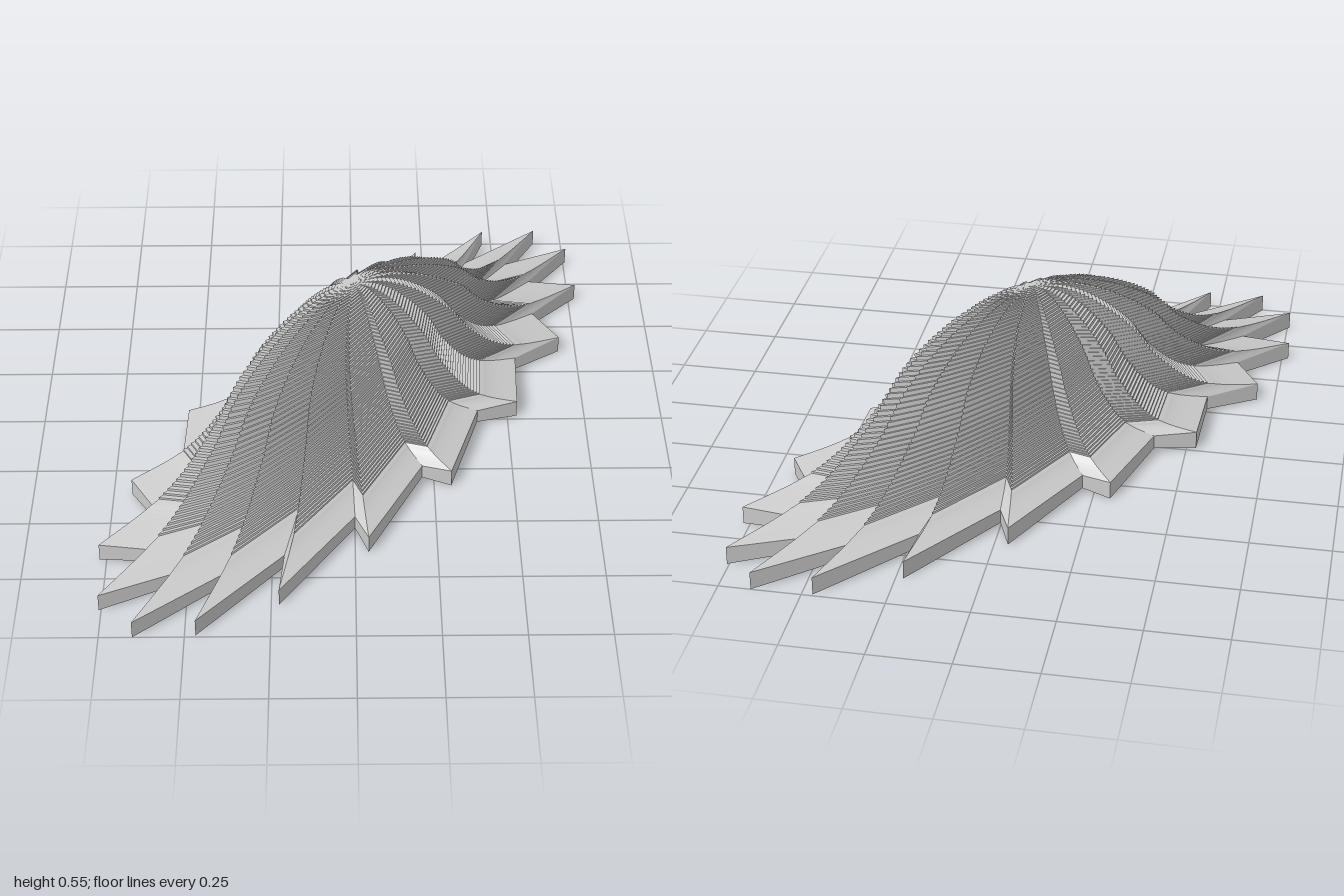
import * as THREE from 'three';

const TEETH = 18;
const BASE_TOP = 0.058, TOP = 0.545;
const material = new THREE.MeshStandardMaterial({ color: 0xcccccc, flatShading: true });

// Slanted elliptical saw-tooth outline, scaled by s and turned with height.
// The notches between teeth can be lifted to pleat the outline.
function ring(s, y, lift = 0) {
  const turn = THREE.MathUtils.degToRad(10) * Math.max(0, (y - BASE_TOP) / (TOP - BASE_TOP));
  const points = [];
  for (let k = 0; k < TEETH; k++) {
    for (const [step, r, rise] of [[k, 1, 0], [k + 0.15, 0.8, lift]]) {
      const a = (step / TEETH) * Math.PI * 2;
      const x = 0.777 * r * s * Math.cos(a - THREE.MathUtils.degToRad(113));
      const z = -1.012 * r * s * Math.cos(a - THREE.MathUtils.degToRad(71));
      points.push([
        x * Math.cos(turn) - z * Math.sin(turn), y + rise,
        x * Math.sin(turn) + z * Math.cos(turn),
      ]);
    }
  }
  return points;
}

// Skin a stack of rings from the bottom up.
function loft(rings) {
  const n = TEETH * 2;
  const index = [];
  for (let i = 0; i < rings.length - 1; i++) {
    for (let j = 0; j < n; j++) {
      const a = i * n + j, b = i * n + ((j + 1) % n);
      index.push(a, a + n, b, b, a + n, b + n);
    }
  }
  const geometry = new THREE.BufferGeometry();
  geometry.setAttribute('position', new THREE.Float32BufferAttribute(rings.flat(2), 3));
  geometry.setIndex(index);
  const flat = geometry.toNonIndexed();
  flat.computeVertexNormals();
  return flat;
}

function addPart(group, name, geometry) {
  const mesh = new THREE.Mesh(geometry, material);
  mesh.name = name;
  group.add(mesh);
}

export function createModel() {
  const group = new THREE.Group();
  group.name = 'twistedDome';

  // Toothed plinth with a shallow pleated underside
  addPart(group, 'toothedBase', loft([ring(0.001, 0), ring(1, 0, 0.012), ring(1, BASE_TOP)]));

  // Bell profile: scale against height
  const profile = new THREE.SplineCurve([
    [1, BASE_TOP], [0.8, 0.09], [0.66, 0.145], [0.52, 0.25], [0.43, 0.35],
    [0.33, 0.43], [0.22, 0.495], [0.11, 0.534], [0.001, TOP],
  ].map(([s, y]) => new THREE.Vector2(s, y)));

  // Smooth flare at the foot, then thin stacked layers up to the crown
  const rings = [];
  const points = profile.getSpacedPoints(60);
  points.forEach((p, i) => {
    const next = points[i + 1];
    if (p.y < 0.095 || !next) {
      rings.push(ring(p.x, p.y));
    } else {
      const s = (p.x + next.x) / 2;
      rings.push(ring(s, p.y), ring(s, next.y));
    }
  });
  addPart(group, 'layeredDome', loft(rings));

  return group;
}
